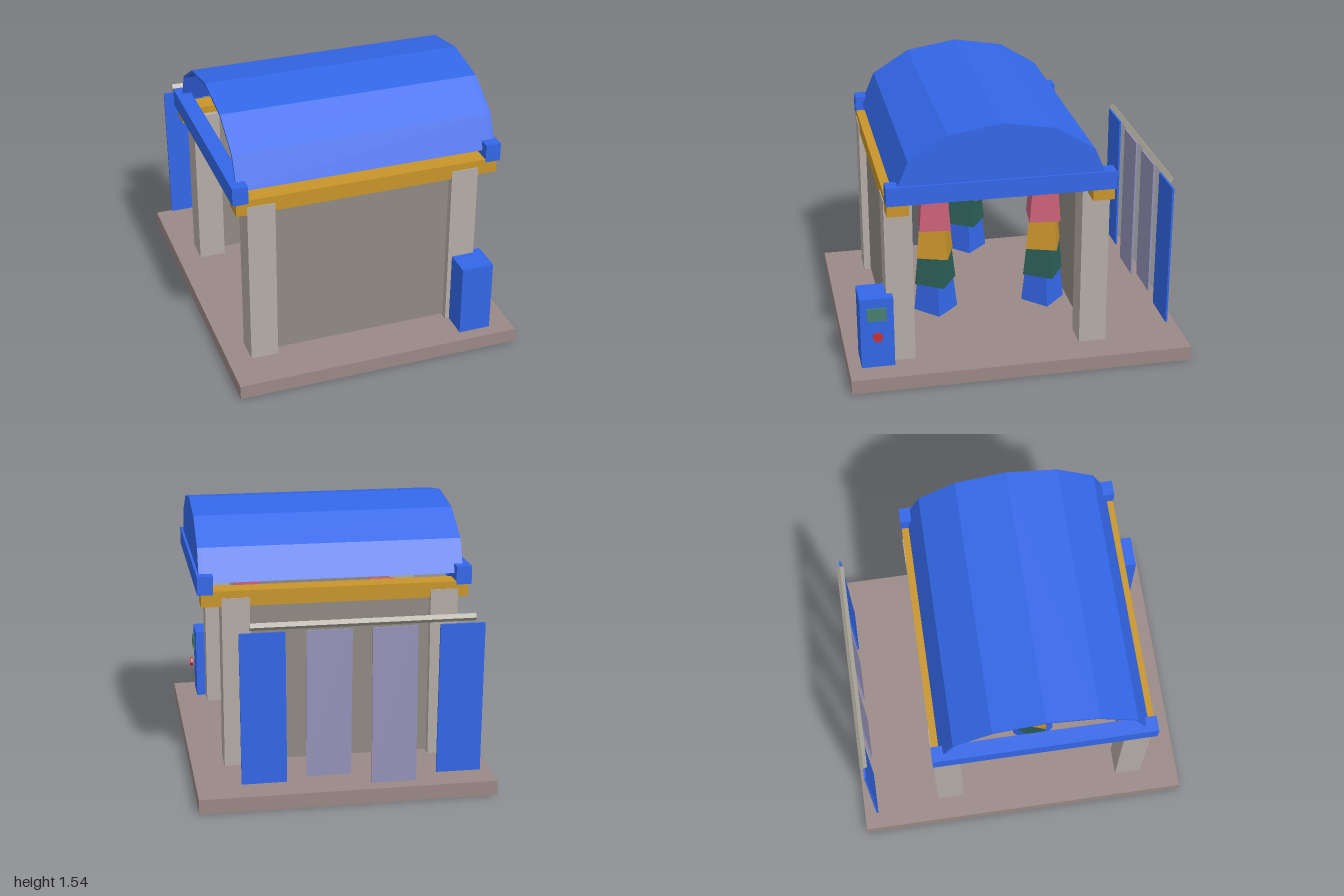
import * as THREE from 'three';

const mat = (color) => new THREE.MeshStandardMaterial({ color, flatShading: true });
const blue = mat(0x3367e8), gold = mat(0xc8952a), stone = mat(0xb5aca5), wallGrey = mat(0x918a83);
const slab = mat(0x9a8986), teal = mat(0x2b5f57), pink = mat(0xc85f75), lavender = mat(0x9592b8);
const steel = mat(0xaaa69a), screenGreen = mat(0x48806f), red = mat(0xc83030);

export function createModel() {
  const model = new THREE.Group();
  const add = (name, geometry, material, parent = model) => {
    const mesh = new THREE.Mesh(geometry, material);
    mesh.name = name;
    parent.add(mesh);
    return mesh;
  };
  // box given by its limits on each axis
  const box = (name, material, x0, x1, y0, y1, z0, z1) => {
    const mesh = add(name, new THREE.BoxGeometry(x1 - x0, y1 - y0, z1 - z0), material);
    mesh.position.set((x0 + x1) / 2, (y0 + y1) / 2, (z0 + z1) / 2);
    return mesh;
  };
  const midZ = 0.12;

  box('base', slab, -0.845, 0.845, 0, 0.085, -1, 1);

  // front and back rows: pillars, wall and gold beam
  for (const [row, s] of [['front', 1], ['back', -1]]) {
    const zRange = (a, b) => (s > 0 ? [midZ + a, midZ + b] : [midZ - b, midZ - a]);
    box(row + 'LeftPillar', stone, 0.495, 0.655, 0.085, 1.09, ...zRange(0.487, 0.647));
    box(row + 'RightPillar', stone, -0.71, -0.55, 0.085, 1.09, ...zRange(0.487, 0.647));
    box(row + 'Wall', wallGrey, -0.56, 0.505, 0.097, 1.06, ...zRange(0.55, 0.605));
    box(row + 'Beam', gold, -0.77, 0.77, 1.042, 1.132, ...zRange(0.518, 0.642));
  }
  box('leftRoofBeam', blue, 0.7, 0.79, 1.113, 1.22, -0.525, 0.765);
  box('rightRoofBeam', blue, -0.79, -0.7, 1.113, 1.22, -0.525, 0.765);

  // vaulted roof: six-sided half ellipse, open at one end
  const arc = (rz, ry) => Array.from({ length: 7 }, (_, i) =>
    new THREE.Vector2(rz * Math.cos(i * Math.PI / 6), ry * Math.sin(i * Math.PI / 6)));
  const vault = (name, points, x0, x1) => {
    const geometry = new THREE.ExtrudeGeometry(new THREE.Shape(points),
      { depth: x1 - x0, bevelEnabled: false });
    geometry.rotateY(Math.PI / 2);
    add(name, geometry, blue).position.set(x0, 1.17, midZ);
  };
  vault('roofVault', [...arc(0.6, 0.375), ...arc(0.585, 0.36).reverse()], -0.75, 0.75);
  vault('roofEndCap', arc(0.6, 0.375), 0.75, 0.775);

  // hanging brushes: four square skirts, each turned a little further
  const tiers = [blue, teal, gold, pink];
  [[0.4, 0.445], [-0.4, 0.12], [0.4, -0.2]].forEach(([x, z], n) => {
    const brush = new THREE.Group();
    brush.name = 'brush' + (n + 1);
    brush.position.set(x, 0.27, z);
    tiers.forEach((material, i) => {
      const skirt = add('skirt' + (i + 1), new THREE.CylinderGeometry(0.108, 0.128, 0.178, 4), material, brush);
      skirt.position.y = 0.089 + i * 0.178;
      skirt.rotation.y = i * 0.23;
    });
    model.add(brush);
  });

  // control box with screen and button
  box('controlBox', blue, 0.52, 0.71, 0.085, 0.52, 0.733, 0.925);
  box('screen', screenGreen, 0.716, 0.724, 0.385, 0.465, 0.775, 0.887);
  const button = add('button', new THREE.CylinderGeometry(0.03, 0.03, 0.016, 6), red);
  button.rotation.z = Math.PI / 2;
  button.position.set(0.737, 0.29, 0.83);

  // rear curtain: square rail on edge with four strips
  const rail = add('curtainRail', new THREE.CylinderGeometry(0.021, 0.021, 1.255, 4), steel);
  rail.rotation.z = Math.PI / 2;
  rail.position.set(-0.083, 1.035, -0.92);
  const strips = [[0.475, 0.13, blue], [0.11, 0.155, lavender], [-0.26, 0.09, lavender], [-0.635, 0.13, blue]];
  strips.forEach(([x, bottom, material], i) => {
    const strip = box('curtainStrip' + (i + 1), material, x - 0.127, x + 0.127, bottom, 1, -0.926, -0.914);
    strip.rotation.z = i % 2 ? 0.007 : -0.004;
  });
  return model;
}
